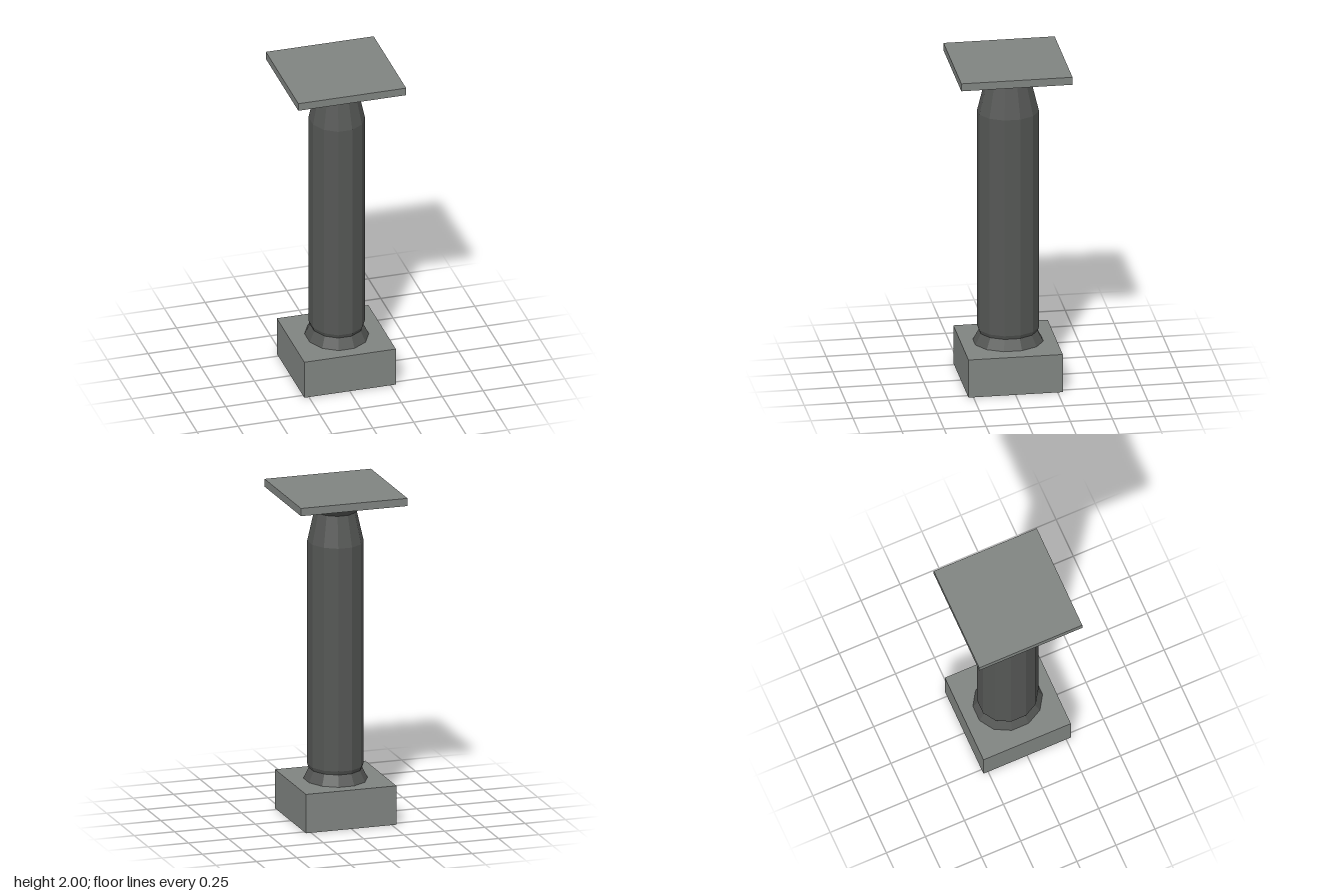
import * as THREE from 'three';

const SIDES = 12;
const blockMaterial = new THREE.MeshStandardMaterial({ color: 0x808481, flatShading: true });
const shaftMaterial = new THREE.MeshStandardMaterial({ color: 0x555755, flatShading: true });

// Square slab standing on height y
function slab(name, width, height, y) {
  const mesh = new THREE.Mesh(new THREE.BoxGeometry(width, height, width), blockMaterial);
  mesh.name = name;
  mesh.position.y = y + height / 2;
  return mesh;
}

// Faceted turned section, slightly narrower in x; profile holds [half depth, y] pairs
function turned(name, profile) {
  const corner = Math.cos(Math.PI / SIDES);
  const points = profile.map(([r, y]) => new THREE.Vector2(r / corner, y));
  const geometry = new THREE.LatheGeometry(points, SIDES, Math.PI / SIDES);
  geometry.scale(0.895, 1, 1);
  const mesh = new THREE.Mesh(geometry, shaftMaterial);
  mesh.name = name;
  mesh.position.x = 0.004;
  return mesh;
}

export function createModel() {
  const group = new THREE.Group();
  group.name = 'column';

  // Square footing and top plate
  const plinth = slab('plinth', 0.56, 0.237, 0);
  plinth.position.x = 0.002;
  group.add(plinth, slab('topPlate', 0.66, 0.047, 1.953));

  // Flared foot, straight shaft with tapered neck, flared capital
  group.add(
    turned('footFlare', [[0.202, 0.237], [0.168, 0.302]]),
    turned('shaft', [[0.168, 0.302], [0.177, 0.325], [0.177, 1.685], [0.133, 1.87]]),
    turned('capitalFlare', [[0.133, 1.87], [0.206, 1.953]]),
  );
  return group;
}
